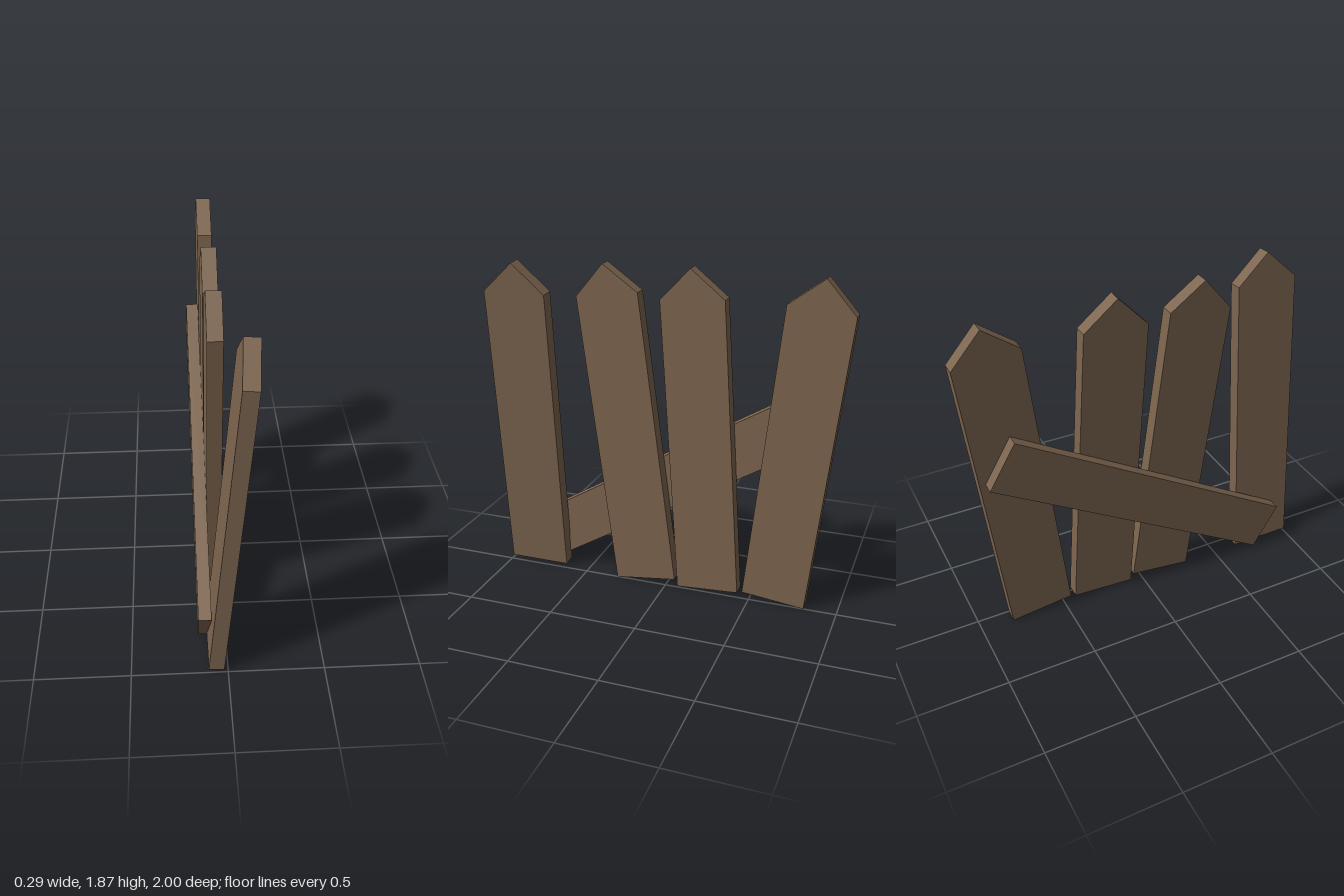
import * as THREE from 'three';

const WIDTH = 0.358, SHOULDER = 1.687, PEAK = 1.852, THICK = 0.08;

export function createModel() {
  const fence = new THREE.Group();
  fence.name = 'brokenFence';
  const wood = new THREE.MeshStandardMaterial({ color: 0x7d654f, flatShading: true });

  // Tilt a board in its own plane, turn it to face +x, then lean it sideways
  function addBoard(name, geometry, [x, y, z], tilt, lean = 0) {
    geometry.rotateZ(tilt).rotateY(Math.PI / 2).rotateZ(-lean);
    const board = new THREE.Mesh(geometry, wood);
    board.name = name;
    board.position.set(x, y, z);
    fence.add(board);
  }

  // Pointed picket outline, origin at the middle of its foot
  const outline = new THREE.Shape([
    [-WIDTH / 2, 0], [WIDTH / 2, 0], [WIDTH / 2, SHOULDER], [0, PEAK], [-WIDTH / 2, SHOULDER],
  ].map(([u, v]) => new THREE.Vector2(u, v)));

  // Pickets: foot position, tilt along the fence, lean out of it
  const pickets = [
    [[-0.06, 0.023, 0.82], 0, 0.0886],
    [[-0.04, 0.0275, 0.1225], 0.126, 0],
    [[-0.04, 0.0225, -0.2525], 0.063, 0],
    [[-0.04, 0.025, -0.6375], -0.11, 0],
  ];
  pickets.forEach(([foot, tilt, lean], i) => {
    const geometry = new THREE.ExtrudeGeometry(outline, { depth: THICK, bevelEnabled: false });
    geometry.translate(0, 0, -THICK / 2);
    addBoard(`picket${i + 1}`, geometry, foot, tilt, lean);
  });

  // Slanted rail behind the pickets
  addBoard('rail', new THREE.BoxGeometry(1.904, 0.292, 0.068), [-0.114, 0.6325, 0], 0.538);

  return fence;
}
